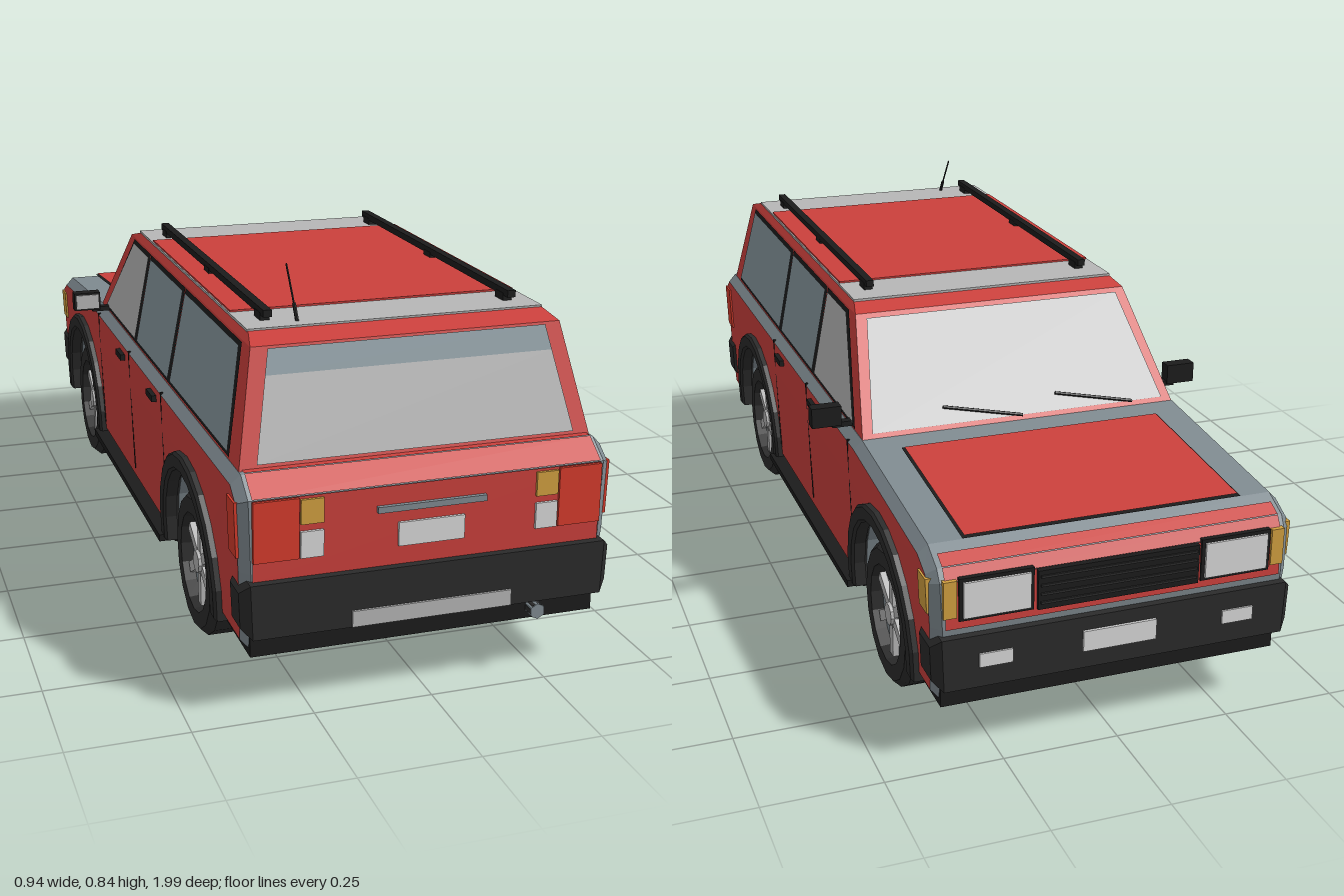
import * as THREE from 'three';
import { ConvexGeometry } from 'three/addons/geometries/ConvexGeometry.js';

const mat = (name, color, side = THREE.FrontSide) =>
  new THREE.MeshStandardMaterial({ name, color, side, flatShading: true });

export function createModel() {
  const red = mat('red paint', 0xcb403c), grey = mat('grey trim', 0x808b91);
  const black = mat('black trim', 0x1c1c1c), dark = mat('dark plastic', 0x2b2b2b, THREE.DoubleSide);
  const glass = mat('tinted glass', 0x87969d), light = mat('light grey', 0xb6b6b6);
  const white = mat('white lamp', 0xdadada), amber = mat('amber lamp', 0xd2a040);
  const tail = mat('tail lamp red', 0xd63c2c);

  const car = new THREE.Group();
  car.name = 'stationWagon';
  const V = (x, y, z) => new THREE.Vector3(x, y, z);
  const add = (name, geo, material, parent = car) => {
    const m = new THREE.Mesh(geo, material);
    m.name = name;
    parent.add(m);
    return m;
  };
  // box given by its ranges
  const box = (name, x0, x1, y0, y1, z0, z1, m) => {
    const g = new THREE.BoxGeometry(Math.abs(x1 - x0), y1 - y0, z1 - z0);
    return add(name, g.translate((x0 + x1) / 2, (y0 + y1) / 2, (z0 + z1) / 2), m);
  };
  // body sides lean inwards towards the sills
  const taper = (g) => {
    const p = g.attributes.position;
    for (let i = 0; i < p.count; i++) {
      p.setX(i, p.getX(i) * (1 - Math.max(0, 0.42 - p.getY(i)) * 0.1));
    }
    return g;
  };
  // extrude a [z, y] outline across x
  const across = (pts, x0, x1, bevel) => {
    const shape = new THREE.Shape(pts.map(([z, y]) => new THREE.Vector2(-z, y)));
    const g = new THREE.ExtrudeGeometry(shape, {
      depth: x1 - x0 - 2 * bevel, bevelEnabled: bevel > 0, bevelThickness: bevel,
      bevelSize: bevel, bevelOffset: -bevel, bevelSegments: 1,
    });
    return taper(g.translate(0, 0, x0 + bevel).rotateY(Math.PI / 2));
  };
  // thin flat face lifted off the surface, always facing outwards
  const pane = (name, pts, m, lift = 0.003) => {
    const n = V().crossVectors(pts[1].clone().sub(pts[0]), pts[2].clone().sub(pts[0])).normalize();
    if (pts[0].clone().add(pts[2]).multiplyScalar(0.5).sub(V(0, 0.3, 0)).dot(n) < 0) {
      n.negate();
      pts = [...pts].reverse();
    }
    const g = new THREE.BufferGeometry().setFromPoints(pts.map((p) => p.clone().addScaledVector(n, lift)));
    g.setIndex([0, 1, 2, 0, 2, 3]);
    g.computeVertexNormals();
    return add(name, g, m);
  };
  const rod = (name, a, b, r, m) => {
    const d = b.clone().sub(a);
    const mesh = add(name, new THREE.CylinderGeometry(r, r, d.length(), 6), m);
    mesh.position.copy(a).addScaledVector(d, 0.5);
    mesh.quaternion.setFromUnitVectors(V(0, 1, 0), d.normalize());
    return mesh;
  };

  // lower body with wheel arches: red flanks, grey edges and top
  const REAR = 0.57, FRONT = -0.63;
  const arch = (cz, r, a = 0.17) => Array.from({ length: 13 }, (_, i) => {
    const t = -a + (Math.PI + 2 * a) * i / 12;
    return [cz + r * Math.cos(t), 0.165 + r * Math.sin(t)];
  });
  const outline = [[0.955, 0.13], ...arch(REAR, 0.205), ...arch(FRONT, 0.205),
    [-0.955, 0.13], [-0.975, 0.3], [-0.97, 0.4], [-0.955, 0.425], [-0.9, 0.452],
    [-0.44, 0.49], [0.92, 0.488], [0.97, 0.452], [0.97, 0.3]];
  add('lowerBody', across(outline, -0.395, 0.395, 0.02), [red, grey]);

  // wheel well liner and floor
  box('wheelWellLiner', -0.27, 0.27, 0.15, 0.4, -0.9, 0.9, grey);
  box('floorCentre', -0.27, 0.27, 0.122, 0.17, -0.95, 0.95, black);
  box('floorMiddle', -0.375, 0.375, 0.122, 0.16, -0.42, 0.36, black);
  box('floorRear', -0.37, 0.37, 0.12, 0.17, 0.78, 0.96, black);
  box('floorFront', -0.37, 0.37, 0.12, 0.17, -0.96, -0.84, black);

  // cabin
  const cabin = [];
  for (const s of [1, -1]) {
    cabin.push(V(s * 0.375, 0.485, 0.905), V(s * 0.375, 0.485, -0.445), V(s * 0.33, 0.715, 0.835),
      V(s * 0.33, 0.715, -0.245), V(s * 0.318, 0.73, 0.78), V(s * 0.318, 0.73, -0.19));
  }
  add('cabin', new ConvexGeometry(cabin), red);
  box('roofPanel', -0.319, 0.319, 0.722, 0.734, -0.195, 0.775, light);
  box('roofCentre', -0.316, 0.316, 0.73, 0.738, -0.06, 0.64, red);

  const up = (a, b, y) => a + (b - a) * (y - 0.485) / 0.23;
  const sideAt = (s, z, y) => V(s * up(0.375, 0.33, y), y, z);
  const rearAt = (x, y) => V(x, y, up(0.905, 0.835, y));
  const frontAt = (x, y) => V(x, y, up(-0.445, -0.245, y));

  // windscreen, rear window with tinted band
  pane('windscreen', [frontAt(-0.35, 0.498), frontAt(0.35, 0.498), frontAt(0.307, 0.705), frontAt(-0.307, 0.705)], light);
  pane('rearWindow', [rearAt(-0.338, 0.497), rearAt(0.338, 0.497), rearAt(0.306, 0.66), rearAt(-0.306, 0.66)], light);
  pane('rearWindowBand', [rearAt(-0.306, 0.66), rearAt(0.306, 0.66), rearAt(0.296, 0.71), rearAt(-0.296, 0.71)], glass);

  // side windows: [rear bottom, front bottom, front top, rear top]
  const windows = [[0.828, 0.342, 0.342, 0.778, glass], [0.322, -0.002, -0.002, 0.322, glass],
    [-0.022, -0.37, -0.19, -0.022, light]];
  for (const s of [1, -1]) {
    for (const [a, b, c, d, m] of windows) {
      const e = 0.008;
      pane('windowFrame', [sideAt(s, a + e, 0.494), sideAt(s, b - e * 1.6, 0.494),
        sideAt(s, c - e, 0.712), sideAt(s, d + e, 0.712)], black, 0.002);
      pane('sideWindow', [sideAt(s, a, 0.502), sideAt(s, b, 0.502),
        sideAt(s, c, 0.703), sideAt(s, d, 0.703)], m, 0.005);
    }
  }

  // red panels on bonnet, nose and tail
  const strip = (name, x, [z0, y0], [z1, y1], m, lift) =>
    pane(name, [V(-x, y0, z0), V(x, y0, z0), V(x, y1, z1), V(-x, y1, z1)], m, lift);
  strip('bonnetOutline', 0.305, [-0.905, 0.4516], [-0.505, 0.4846], black, 0.004);
  strip('bonnetPanel', 0.3, [-0.9, 0.452], [-0.51, 0.4842], red, 0.008);
  strip('noseSlope', 0.365, [-0.955, 0.425], [-0.925, 0.44], red);
  strip('noseLip', 0.365, [-0.97, 0.4], [-0.955, 0.425], red);
  strip('nosePanel', 0.365, [-0.975, 0.3], [-0.97, 0.4], red);
  strip('tailgate', 0.368, [0.97, 0.285], [0.97, 0.452], red);
  strip('tailgateSlope', 0.368, [0.97, 0.452], [0.92, 0.488], red);
  strip('tailgateShelf', 0.368, [0.92, 0.488], [0.9, 0.488], red);

  // bumpers
  const bumper = (a, b) => across([[a, 0.17], [b, 0.17], [b, 0.285], [a, 0.285]], -0.402, 0.402, 0.02);
  add('rearBumper', bumper(0.89, 0.99), dark);
  add('frontBumper', bumper(-0.99, -0.885), dark);
  box('rearBumperPlate', -0.17, 0.17, 0.172, 0.206, 0.98, 0.995, light);
  box('frontPlate', -0.08, 0.08, 0.21, 0.255, -0.996, -0.98, white);

  // tail and nose details
  box('tailgateHandle', -0.115, 0.115, 0.4, 0.413, 0.965, 0.982, grey);
  box('rearPlate', -0.07, 0.07, 0.325, 0.375, 0.965, 0.979, white);
  box('grille', -0.175, 0.175, 0.315, 0.4, -0.984, -0.95, black);
  for (let i = 0; i < 4; i++) {
    box('grilleBar', -0.17, 0.17, 0.328 + i * 0.019, 0.333 + i * 0.019, -0.988, -0.97, dark);
  }
  const pipe = add('exhaustPipe', new THREE.CylinderGeometry(0.016, 0.016, 0.13, 10), dark);
  pipe.rotation.x = Math.PI / 2;
  pipe.position.set(0.235, 0.145, 0.92);
  rod('exhaustTip', V(0.235, 0.145, 0.95), V(0.235, 0.145, 0.987), 0.017, grey);

  for (const s of [1, -1]) {
    // lamps
    box('tailLamp', s * 0.275, s * 0.368, 0.325, 0.45, 0.955, 0.979, tail);
    box('rearIndicator', s * 0.225, s * 0.272, 0.395, 0.446, 0.96, 0.979, amber);
    box('reverseLamp', s * 0.225, s * 0.272, 0.325, 0.38, 0.96, 0.979, white);
    box('headlampSurround', s * 0.182, s * 0.338, 0.316, 0.408, -0.98, -0.95, black);
    box('headlamp', s * 0.19, s * 0.33, 0.323, 0.4, -0.985, -0.97, white);
    box('frontIndicator', s * 0.342, s * 0.37, 0.325, 0.405, -0.98, -0.95, amber);
    box('fogLamp', s * 0.23, s * 0.3, 0.215, 0.245, -0.994, -0.98, white);
    taper(box('tailLampSide', s * 0.385, s * 0.399, 0.33, 0.445, 0.9, 0.952, tail).geometry);
    taper(box('frontIndicatorSide', s * 0.385, s * 0.399, 0.33, 0.405, -0.953, -0.905, amber).geometry);

    // sill, door gaps and handles
    box('sill', s * 0.36, s * 0.412, 0.126, 0.142, -0.42, 0.36, black);
    for (const z of [0.332, -0.012, -0.39]) {
      taper(box('doorGap', s * 0.39, s * 0.3965, 0.17, 0.475, z - 0.003, z + 0.003, black).geometry);
    }
    for (const z of [0.255, -0.09]) {
      box('doorHandle', s * 0.39, s * 0.406, 0.438, 0.453, z - 0.03, z + 0.03, black);
    }

    // wheel arch flares
    for (const cz of [REAR, FRONT]) {
      const ring = [...arch(cz, 0.24, 0.15), ...arch(cz, 0.2, 0.17).reverse()];
      add('archFlare', across(ring, s > 0 ? 0.375 : -0.413, s > 0 ? 0.413 : -0.375, 0.006), dark);
    }

    // mirrors
    box('mirrorArm', s * 0.36, s * 0.42, 0.494, 0.506, -0.36, -0.34, black);
    box('mirrorHousing', s * 0.4, s * 0.468, 0.5, 0.546, -0.365, -0.335, black);
    box('mirrorGlass', s * 0.405, s * 0.463, 0.505, 0.541, -0.336, -0.332, light);

    // roof rails
    box('roofRail', s * 0.257, s * 0.275, 0.745, 0.76, -0.145, 0.74, black);
    for (const z of [0.7, 0.3, -0.11]) {
      box('railFoot', s * 0.256, s * 0.276, 0.73, 0.75, z - 0.02, z + 0.02, black);
    }
  }

  // wipers and aerial
  for (const x of [-0.27, 0]) {
    rod('wiper', V(x, 0.504, -0.446), V(x + 0.18, 0.535, -0.417), 0.004, black);
  }
  rod('aerialBase', V(-0.205, 0.73, 0.745), V(-0.205, 0.765, 0.722), 0.004, black);
  rod('aerial', V(-0.205, 0.76, 0.725), V(-0.205, 0.835, 0.67), 0.002, black);

  // wheels
  const tyre = [[0.108, -0.052], [0.145, -0.052], [0.16, -0.036], [0.16, 0.036],
    [0.145, 0.052], [0.11, 0.052], [0.106, 0.02]].map(([r, y]) => new THREE.Vector2(r, y));
  for (const s of [1, -1]) {
    for (const cz of [REAR, FRONT]) {
      const wheel = new THREE.Group();
      wheel.name = 'wheel';
      add('tyre', new THREE.LatheGeometry(tyre, 16).rotateZ(-Math.PI / 2), dark, wheel);
      add('rim', new THREE.CylinderGeometry(0.109, 0.109, 0.075, 16).rotateZ(-Math.PI / 2).translate(-0.012, 0, 0), grey, wheel);
      for (let i = 0; i < 3; i++) {
        add('spokes', new THREE.BoxGeometry(0.014, 0.2, 0.024).translate(0.032, 0, 0).rotateX(i * Math.PI / 3), light, wheel);
      }
      add('hub', new THREE.CylinderGeometry(0.025, 0.028, 0.02, 10).rotateZ(-Math.PI / 2).translate(0.036, 0, 0), light, wheel);
      wheel.position.set(s * 0.333, 0.16, cz);
      if (s < 0) wheel.rotation.y = Math.PI;
      car.add(wheel);
    }
  }
  return car;
}
